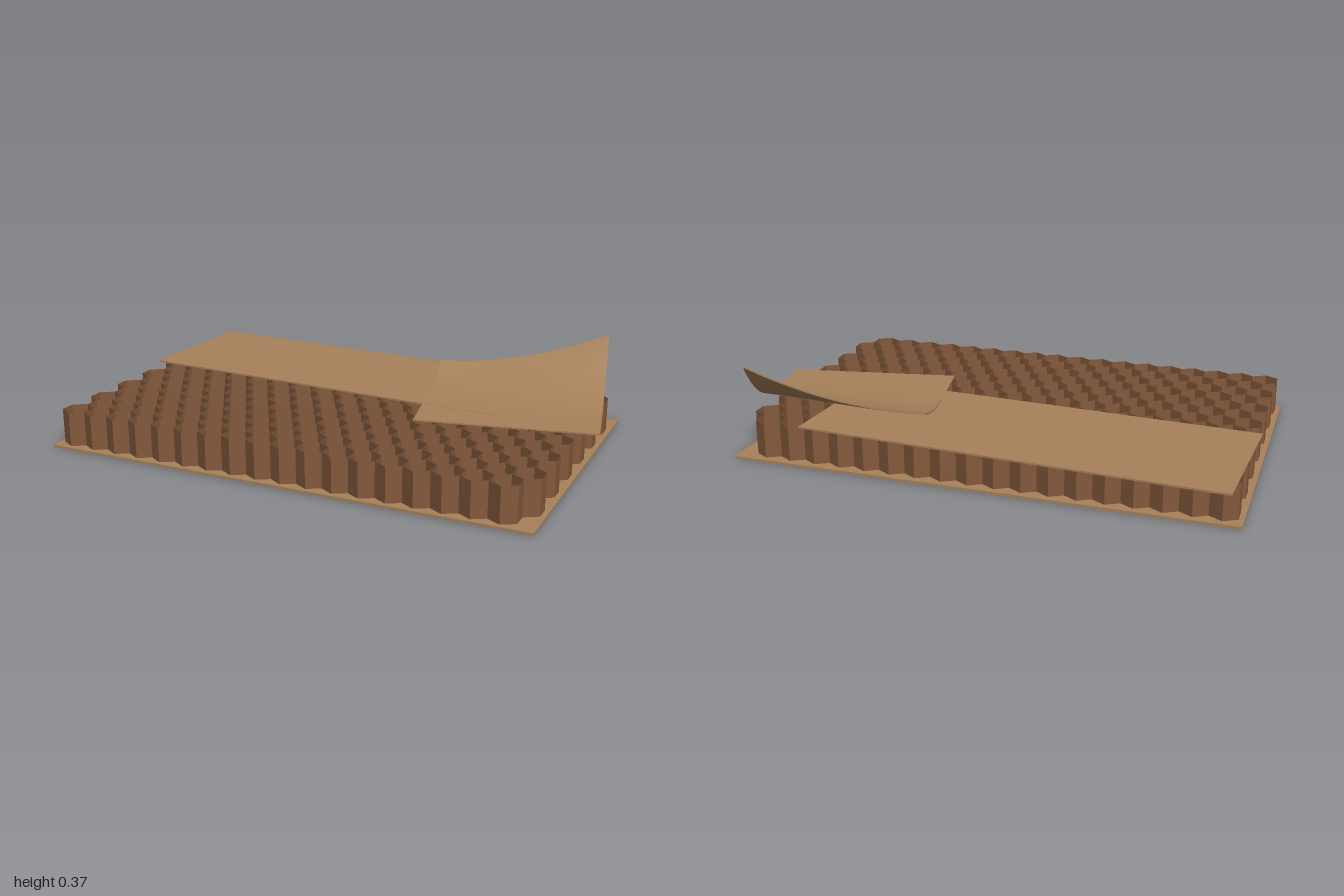
import * as THREE from 'three';
import { mergeGeometries } from 'three/addons/utils/BufferGeometryUtils.js';

export function createModel() {
  const model = new THREE.Group();
  model.name = 'honeycombPanel';

  const cardboard = new THREE.MeshStandardMaterial({ color: 0xa8825a });
  cardboard.name = 'cardboard';
  const cellBrown = new THREE.MeshStandardMaterial({
    color: 0x84593c, flatShading: true, side: THREE.DoubleSide,
  });
  cellBrown.name = 'cellBrown';

  const add = (name, geometry, material) => {
    const mesh = new THREE.Mesh(geometry, material);
    mesh.name = name;
    model.add(mesh);
    return mesh;
  };

  // Bottom board
  add('baseSheet', new THREE.BoxGeometry(1.93, 0.011, 1.22), cardboard)
    .position.set(-0.035, 0.0055, 0.037);

  // Honeycomb core: open six-sided cells in staggered rows
  const radius = 0.059, pitch = radius * Math.sqrt(3);
  const bottom = 0.011, top = 0.147;
  const cells = [];
  for (let row = 0; row < 13; row++) {
    for (let col = 0; col < 18; col++) {
      const cell = new THREE.CylinderGeometry(radius, radius, top - bottom, 6, 1, true);
      cell.translate(
        -0.98 + pitch * (col + 0.5 + (row % 2) / 2),
        (top + bottom) / 2,
        0.571 - row * radius * 1.5,
      );
      cells.push(cell);
    }
  }
  add('honeycombCore', mergeGeometries(cells), cellBrown);

  // Flat cover sheet, slightly askew
  const cover = add('coverSheet', new THREE.BoxGeometry(1.625, 0.007, 0.566), cardboard);
  cover.position.set(-0.172, 0.1575, -0.323);
  cover.rotation.y = -0.055;

  // Peeled cover sheet: flat at the front, curling up towards the back right corner
  const peel = new THREE.BoxGeometry(1, 0.006, 1, 20, 1, 28);
  const pos = peel.attributes.position;
  for (let i = 0; i < pos.count; i++) {
    const u = pos.getX(i) + 0.5, v = 0.5 - pos.getZ(i);
    const lift = (0.06 + 0.155 * u * u) * v ** 4;
    pos.setXYZ(i,
      0.315 + 0.675 * u - 0.118 * v,
      0.1565 + pos.getY(i) + lift,
      0.175 - 0.135 * u - 0.598 * v);
  }
  peel.computeVertexNormals();
  add('peeledSheet', peel, cardboard);

  return model;
}
